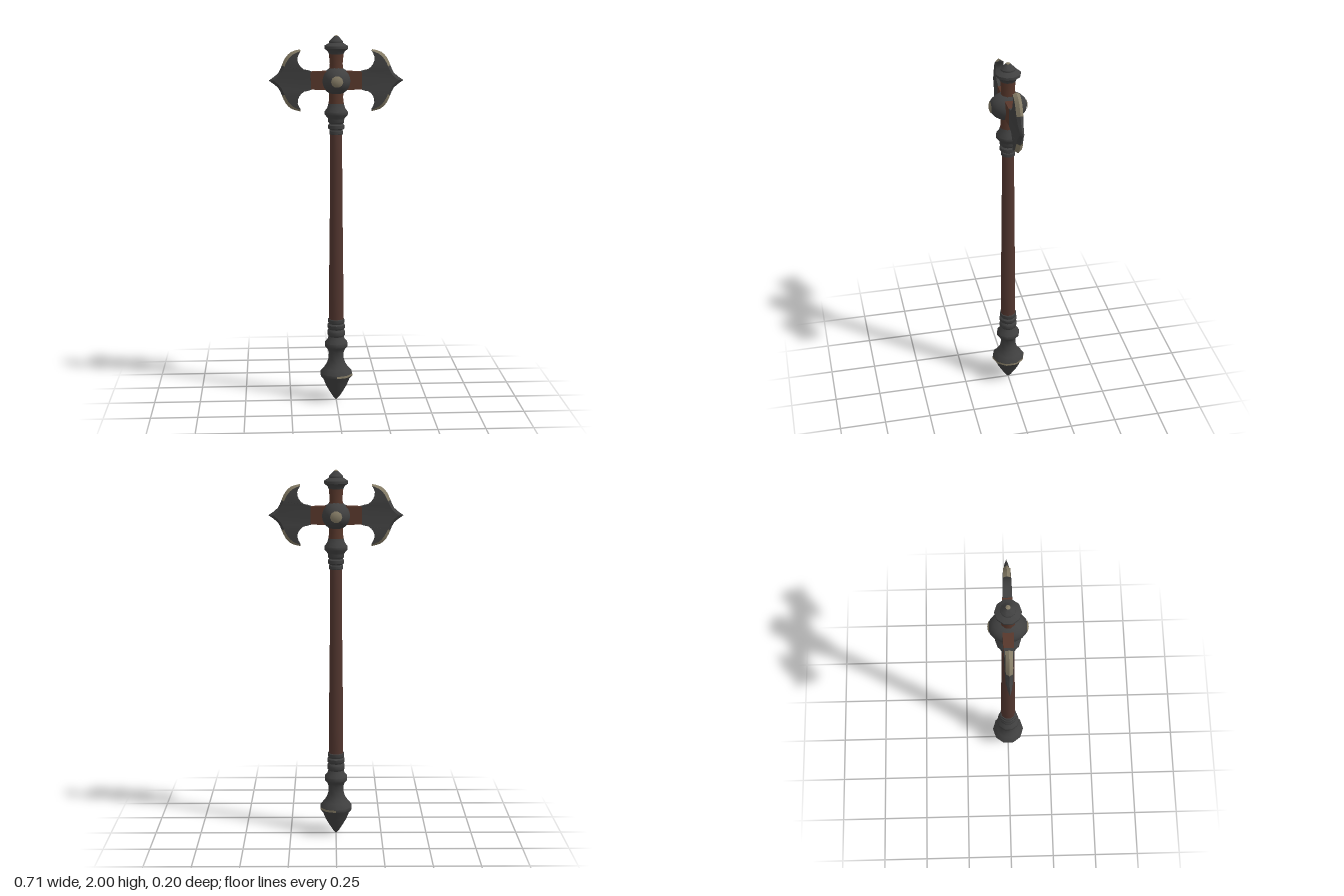
import * as THREE from 'three';
import { toCreasedNormals } from 'three/addons/utils/BufferGeometryUtils.js';

export function createModel() {
  const axe = new THREE.Group();
  axe.name = 'doubleAxe';
  const material = (name, color) => {
    const m = new THREE.MeshStandardMaterial({ color });
    m.name = name;
    return m;
  };
  const iron = material('darkIron', 0x404040);
  const wood = material('brownWood', 0x52362f);
  const rust = material('rustedIron', 0x57372b);
  const worn = material('wornEdge', 0x857c66);

  const add = (name, geometry, mat, parent = axe) => {
    const mesh = new THREE.Mesh(geometry, mat);
    mesh.name = name;
    parent.add(mesh);
    return mesh;
  };
  // Turned part from [radius, height] pairs, listed bottom to top
  const turned = (name, profile, mat, start = 0, sweep = Math.PI * 2) => {
    const points = profile.map(([r, y]) => new THREE.Vector2(r, y));
    const segments = Math.round(10 * sweep / (Math.PI * 2));
    return add(name, toCreasedNormals(new THREE.LatheGeometry(points, segments, start, sweep), 0.75), mat);
  };

  // Pommel and lower collars
  turned('pommel', [
    [0, 0], [0.018, 0.02], [0.04, 0.055], [0.06, 0.09], [0.074, 0.125], [0.09, 0.145], [0.09, 0.16],
    [0.068, 0.185], [0.052, 0.21], [0.043, 0.24], [0.042, 0.275], [0.05, 0.295], [0.064, 0.31],
    [0.064, 0.33], [0.05, 0.345], [0.042, 0.365], [0.049, 0.375], [0.049, 0.395], [0.041, 0.405],
    [0.049, 0.415], [0.049, 0.43], [0.041, 0.437], [0.046, 0.445], [0.046, 0.462], [0.036, 0.465],
  ], iron);
  turned('pommelWornRim', [[0.0915, 0.146], [0.0915, 0.158]], worn, 0, Math.PI);

  // Shaft
  turned('shaft', [
    [0.041, 0.45], [0.041, 0.6], [0.038, 0.85], [0.035, 1.1], [0.033, 1.35], [0.033, 1.49],
  ], wood);

  // Upper collars
  turned('upperCollar', [
    [0.032, 1.475], [0.038, 1.478], [0.038, 1.495], [0.033, 1.5], [0.045, 1.508], [0.045, 1.525],
    [0.036, 1.532], [0.044, 1.542], [0.044, 1.556], [0.046, 1.562], [0.064, 1.583], [0.064, 1.597],
    [0.05, 1.615], [0.042, 1.64],
  ], iron);

  // Core of the head: rusted necks below and above the boss
  turned('lowerNeck', [[0.042, 1.64], [0.038, 1.67], [0.04, 1.72]], rust);
  turned('upperNeck', [[0.04, 1.81], [0.035, 1.85], [0.04, 1.9]], rust);
  turned('cap', [
    [0.04, 1.9], [0.047, 1.915], [0.065, 1.928], [0.065, 1.942], [0.038, 1.958],
    [0.038, 1.966], [0.022, 1.982], [0.012, 1.993],
  ], iron);
  turned('capWornTip', [[0.012, 1.993], [0, 2]], worn);

  // Round boss with a worn spot on the front and back
  const boss = add('boss', new THREE.SphereGeometry(1, 16, 12), iron);
  boss.scale.set(0.078, 0.074, 0.098);
  boss.position.y = 1.76;
  for (const side of [1, -1]) {
    const spot = add('bossWornSpot', new THREE.SphereGeometry(1, 10, 3, 0, Math.PI * 2, 0, 0.42), worn);
    spot.rotation.x = side * Math.PI / 2;
    spot.scale.set(0.079, 0.1, 0.075);
    spot.position.y = 1.76;
  }

  // Blade outlines for the upper half, from horn to centre line
  const sample = (points) => new THREE.CatmullRomCurve3(
    points.map(([x, y, z]) => new THREE.Vector3(x, y, z))).getPoints(10);
  const back = sample([
    [0.188, 0.154, 0.018], [0.204, 0.12, 0.02], [0.197, 0.085, 0.022],
    [0.17, 0.057, 0.023], [0.13, 0.047, 0.024], [0.125, 0, 0.024],
  ]);
  const rim = sample([
    [0.188, 0.154, 0.018], [0.226, 0.138, 0.018], [0.254, 0.11, 0.018],
    [0.273, 0.073, 0.017], [0.291, 0.036, 0.014], [0.328, 0, 0.01],
  ]);
  const edge = sample([
    [0.189, 0.163, 0], [0.236, 0.15, 0], [0.267, 0.12, 0],
    [0.286, 0.08, 0], [0.306, 0.038, 0], [0.356, 0, 0],
  ]);

  const body = [], wornBevel = [], darkBevel = [];
  const quad = (list, corners, sy, sz) => {
    const c = corners.map((p) => [p.x, p.y * sy, p.z * sz]);
    if (sy * sz < 0) c.reverse();
    for (const k of [0, 1, 2, 0, 2, 3]) list.push(...c[k]);
  };
  const behind = (p) => new THREE.Vector3(p.x, p.y, -p.z);
  for (const sy of [1, -1]) {
    for (let i = 0; i < back.length - 1; i++) {
      const j = i + 1;
      for (const sz of [1, -1]) {
        quad(body, [back[i], back[j], rim[j], rim[i]], sy, sz);
        quad(i < 6 ? wornBevel : darkBevel, [rim[i], rim[j], edge[j], edge[i]], sy, sz);
      }
      quad(body, [back[i], behind(back[i]), behind(back[j]), back[j]], sy, 1);
    }
    // Closing face at the horn
    quad(body, [back[0], edge[0], behind(back[0]), behind(back[0])], sy, 1);
  }
  const surface = (list) => {
    const g = new THREE.BufferGeometry();
    g.setAttribute('position', new THREE.Float32BufferAttribute(list, 3));
    return toCreasedNormals(g, 0.5);
  };
  const bodyGeometry = surface(body);
  const wornGeometry = surface(wornBevel);
  const darkGeometry = surface(darkBevel);

  // Tapered arm joining blade and boss
  const armGeometry = new THREE.BoxGeometry(0.09, 0.1, 0.056);
  const pos = armGeometry.attributes.position;
  for (let i = 0; i < pos.count; i++) {
    if (pos.getX(i) > 0) {
      pos.setY(i, pos.getY(i) * 0.92);
      pos.setZ(i, pos.getZ(i) * 0.89);
    }
  }
  armGeometry.translate(0.09, 0, 0);
  armGeometry.computeVertexNormals();

  for (const [name, turn] of [['leftBlade', 0], ['rightBlade', Math.PI]]) {
    const blade = new THREE.Group();
    blade.name = name;
    blade.position.y = 1.762;
    blade.rotation.y = turn;
    add('bladeBody', bodyGeometry, iron, blade);
    add('wornBladeEdge', wornGeometry, worn, blade);
    add('bladePoint', darkGeometry, iron, blade);
    add('bladeArm', armGeometry, rust, blade);
    axe.add(blade);
  }
  return axe;
}
